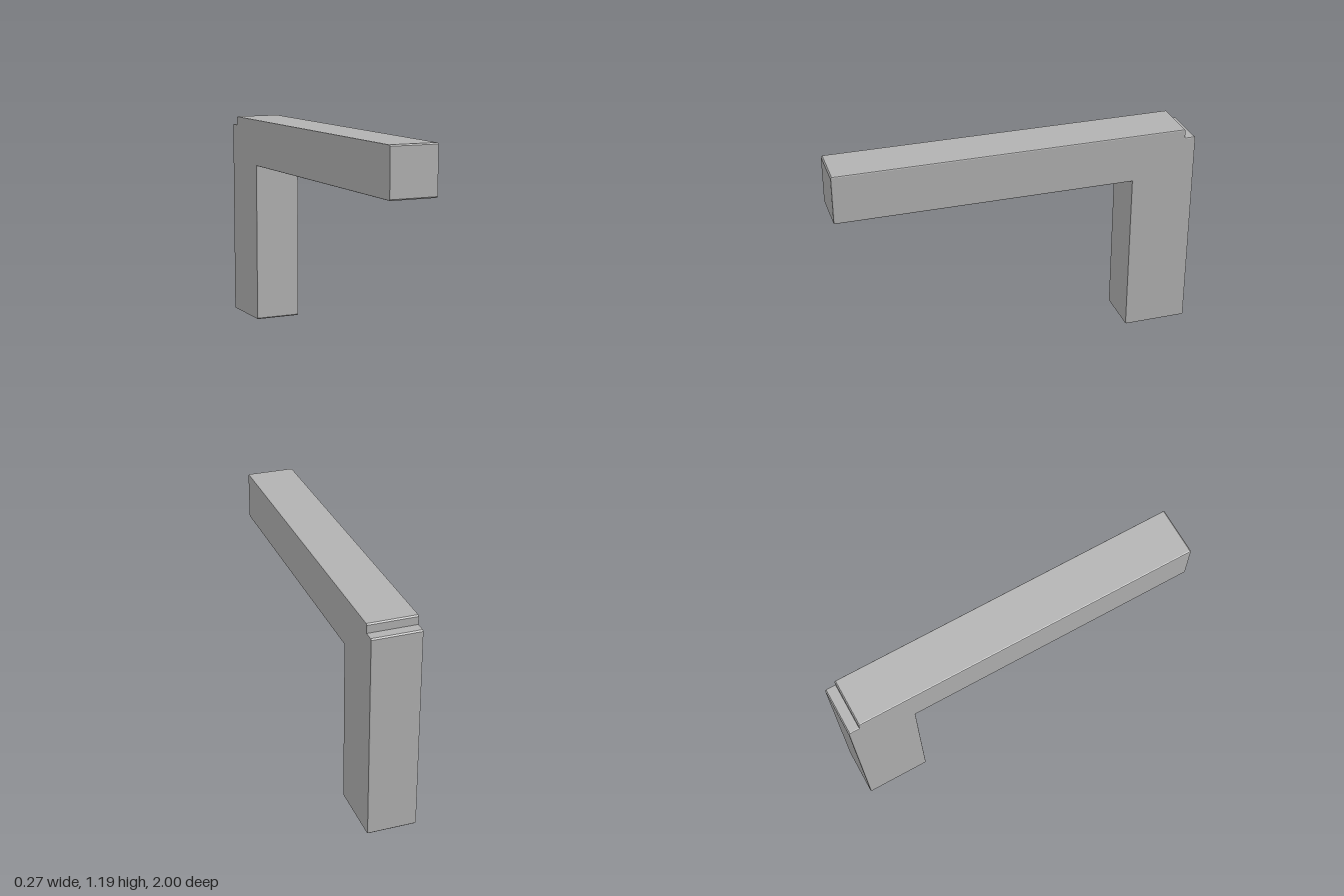
import * as THREE from 'three';

export function createModel() {
  const model = new THREE.Group();
  const grey = new THREE.MeshStandardMaterial({ color: 0xb2b2b2 });
  grey.name = 'grey';

  const width = 0.27;
  const bevel = 0.007;

  // Side outline as [z, y]: long beam, rear leg and the small step behind the beam
  const outline = [
    [-1, 0], [-0.64, 0], [-0.64, 0.92], [1, 0.92],
    [1, 1.19], [-0.94, 1.19], [-0.94, 1.14], [-1, 1.14],
  ].map(([z, y]) => new THREE.Vector2(z, y));

  // Chamfer the outer corners of the outline, keep the inner ones sharp
  const points = [];
  outline.forEach((p, i) => {
    const toPrev = outline.at(i - 1).clone().sub(p).normalize();
    const toNext = outline[(i + 1) % outline.length].clone().sub(p).normalize();
    if (toNext.cross(toPrev) > 0) {
      points.push(p.clone().addScaledVector(toPrev, bevel), p.clone().addScaledVector(toNext, bevel));
    } else {
      points.push(p);
    }
  });

  const geometry = new THREE.ExtrudeGeometry(new THREE.Shape(points), {
    depth: width - 2 * bevel,
    bevelEnabled: true,
    bevelSize: bevel,
    bevelOffset: -bevel,
    bevelThickness: bevel,
    bevelSegments: 2,
  });
  geometry.translate(0, 0, bevel - width / 2);
  geometry.rotateY(-Math.PI / 2);

  const bracket = new THREE.Mesh(geometry, grey);
  bracket.name = 'beamAndLeg';
  model.add(bracket);
  return model;
}
